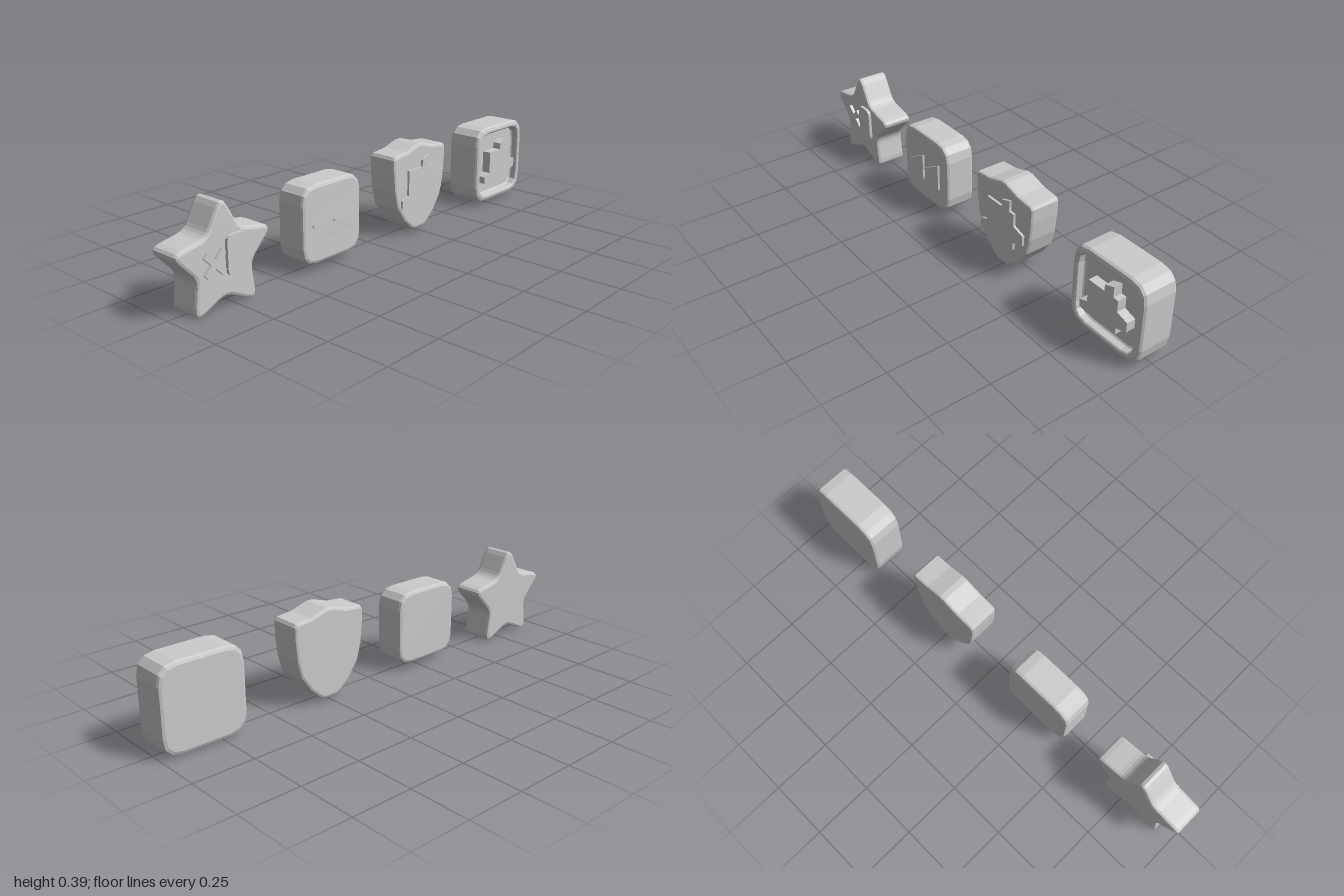
import * as THREE from 'three';

const grey = new THREE.MeshStandardMaterial({ color: 0xcccccc });
grey.name = 'plain grey';

// Outline with each corner cut back by cut(i) and rounded in a few steps
function roundPoly(pts, cut, steps = 3) {
  const out = [];
  const v = pts.map(p => new THREE.Vector2(...p));
  v.forEach((p, i) => {
    const d = typeof cut === 'function' ? cut(i) : cut;
    if (!d) return out.push(p);
    const toward = q => p.clone().add(q.clone().sub(p).setLength(d));
    const a = toward(v[(i + v.length - 1) % v.length]);
    const b = toward(v[(i + 1) % v.length]);
    out.push(...new THREE.QuadraticBezierCurve(a, p, b).getPoints(steps));
  });
  return out;
}

const rectPoints = (cx, cy, hw, hh) =>
  [[cx - hw, cy - hh], [cx + hw, cy - hh], [cx + hw, cy + hh], [cx - hw, cy + hh]];

function mesh(name, geometry) {
  const m = new THREE.Mesh(geometry, grey);
  m.name = name;
  return m;
}

// Slab between z0 and z1 with an optional soft edge inside the outline
function slab(name, points, z0, z1, bevel = 0) {
  const g = new THREE.ExtrudeGeometry(new THREE.Shape(points), {
    depth: z1 - z0 - 2 * bevel, bevelEnabled: bevel > 0, bevelThickness: bevel,
    bevelSize: bevel, bevelOffset: -bevel, bevelSegments: 2, curveSegments: 1,
  });
  g.translate(0, 0, z0 + bevel);
  return mesh(name, g);
}

// Rounded square lofted through [inset, z] rings and capped at both ends
function tray(name, cx, cy, hw, hh, corner, rings) {
  const loops = rings.map(([inset, z]) =>
    roundPoly(rectPoints(cx, cy, hw - inset, hh - inset), corner - inset * 0.6)
      .map(p => [p.x, p.y, z]));
  const pos = [];
  const n = loops[0].length;
  const first = [cx, cy, rings[0][1]];
  const last = [cx, cy, rings[rings.length - 1][1]];
  for (let j = 0; j < n; j++) {
    const k = (j + 1) % n;
    pos.push(...first, ...loops[0][k], ...loops[0][j]);
    for (let i = 0; i + 1 < loops.length; i++) {
      const [a, b] = [loops[i], loops[i + 1]];
      pos.push(...a[j], ...a[k], ...b[k], ...a[j], ...b[k], ...b[j]);
    }
    const end = loops[loops.length - 1];
    pos.push(...last, ...end[j], ...end[k]);
  }
  const g = new THREE.BufferGeometry();
  g.setAttribute('position', new THREE.Float32BufferAttribute(pos, 3));
  g.computeVertexNormals();
  return mesh(name, g);
}

// Square emblem with tabs at the top, right and left
function tabbedEmblem(name, cx, cy, s, z0, z1) {
  const pts = [
    [-0.5, -0.5], [0.5, -0.5], [0.5, -0.31], [0.84, -0.2], [0.84, 0.07], [0.5, 0.17],
    [0.5, 0.5], [0.34, 0.5], [0.34, 0.79], [0.04, 0.69], [0.04, 0.5],
    [-0.5, 0.5], [-0.5, -0.16], [-0.75, -0.25], [-0.75, -0.46], [-0.5, -0.5],
  ].map(([x, y]) => new THREE.Vector2(cx + x * s, cy + y * s));
  pts.pop();
  return slab(name, pts, z0, z1);
}

function group(name, ...parts) {
  const g = new THREE.Group();
  g.name = name;
  g.add(...parts);
  return g;
}

export function createModel() {
  const model = new THREE.Group();
  model.name = 'tokenSet';
  const back = -0.064, front = 0.068;

  // Star token with a raised cross and plain plate
  const star = [];
  for (let i = 0; i < 10; i++) {
    const a = Math.PI / 2 + i * Math.PI / 5, r = i % 2 ? 0.125 : 0.235;
    star.push([-0.797 + r * Math.cos(a), 0.177 + r * Math.sin(a)]);
  }
  const cross = [];
  const l = 0.055, t = 0.012;
  [[l, -t], [l, t], [t, t], [t, l], [-t, l], [-t, t],
    [-l, t], [-l, -t], [-t, -t], [-t, -l], [t, -l], [t, -t]].forEach(([x, y]) =>
    cross.push(new THREE.Vector2(
      -0.848 + (x - y) * Math.SQRT1_2, 0.182 + (x + y) * Math.SQRT1_2)));
  model.add(group('starToken',
    slab('starBody', roundPoly(star, i => (i % 2 ? 0.03 : 0.05), 4), back, front, 0.012),
    slab('starCross', cross, 0.06, 0.081),
    slab('starPlate', roundPoly(rectPoints(-0.752, 0.193, 0.043, 0.074), 0.025), 0.06, 0.081)));

  // Rounded square token with two raised triangles
  const arrow = x => roundPoly(
    [[x, 0.187], [x + 0.107, 0.13], [x + 0.107, 0.245]], i => (i ? 0 : 0.012), 2);
  model.add(group('arrowToken',
    slab('arrowBody', roundPoly(rectPoints(-0.273, 0.187, 0.156, 0.155), 0.07), back, front, 0.013),
    slab('leftArrow', arrow(-0.388), 0.06, 0.077),
    slab('rightArrow', arrow(-0.278), 0.06, 0.077)));

  // Shield token, outline mirrored about its centre line
  const half = [[0.03, 0.014], [0.053, 0.026], [0.095, 0.064], [0.14, 0.128], [0.158, 0.198],
    [0.166, 0.28], [0.167, 0.338], [0.158, 0.35], [0.085, 0.357], [0.012, 0.379]];
  const shield = [...half, ...half.map(([x, y]) => [-x, y]).reverse()]
    .map(([x, y]) => new THREE.Vector2(0.251 + x, y));
  model.add(group('shieldToken',
    slab('shieldBody', shield, back, front, 0.011),
    tabbedEmblem('shieldEmblem', 0.248, 0.2, 0.16, 0.06, 0.078)));

  // Framed token with a recessed face
  model.add(group('framedToken',
    tray('frameBody', 0.826, 0.184, 0.174, 0.172, 0.075, [
      [0.014, -0.08], [0.004, -0.076], [0, -0.067], [0, 0.06], [0.005, 0.069], [0.015, 0.073],
      [0.023, 0.073], [0.028, 0.069], [0.031, 0.045], [0.036, 0.04]]),
    tabbedEmblem('frameEmblem', 0.816, 0.168, 0.145, 0.035, 0.078)));

  return model;
}
